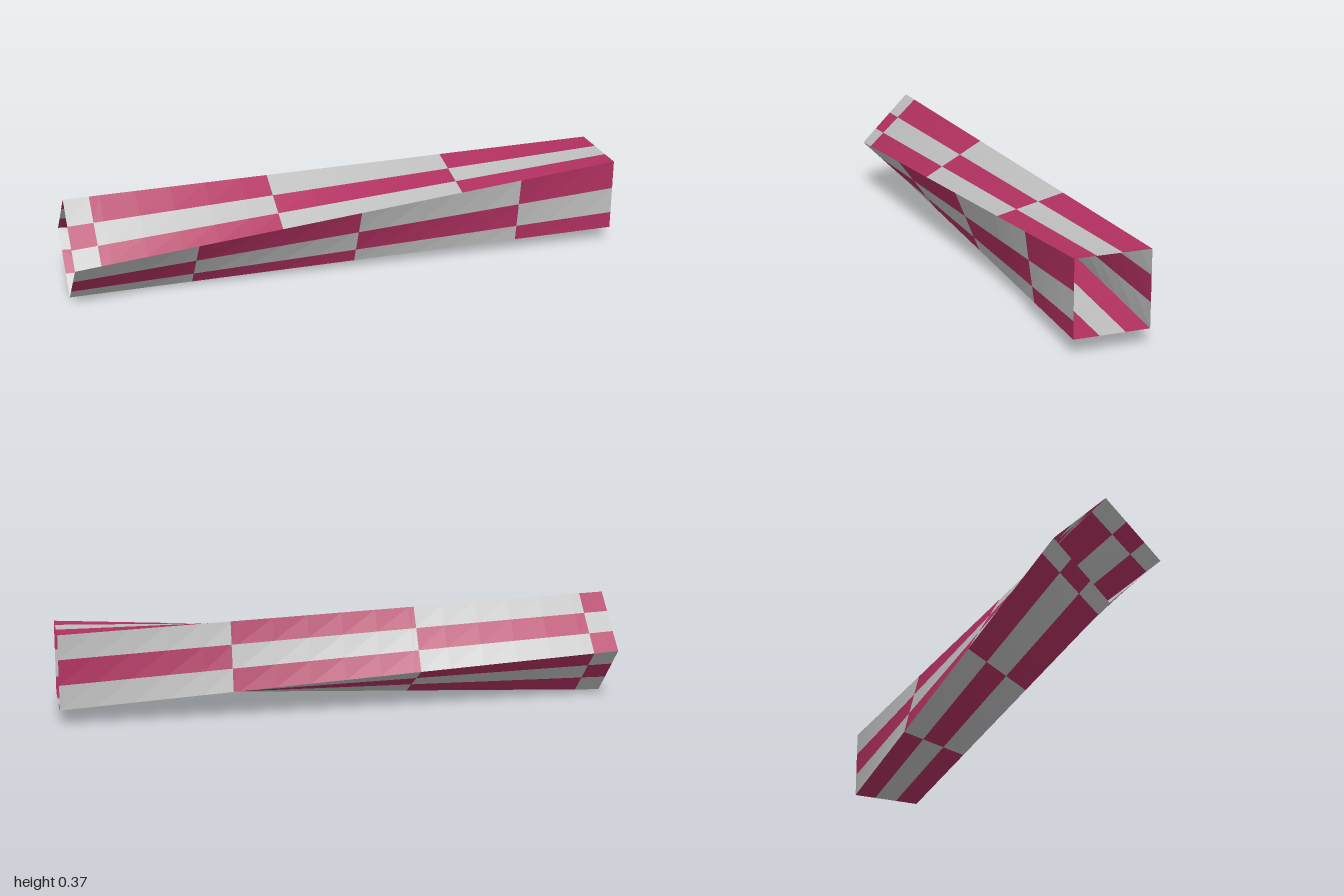
import * as THREE from 'three';

const R = 0.186;       // corner radius of both square ends
const SEGMENTS = 16;   // lengthwise divisions

// Corner k of the tube at position x: a straight line from the diamond end to the square end
function corner(k, x) {
  const a = k * Math.PI / 2, b = a + Math.PI / 4, t = (x + 1) / 2;
  return new THREE.Vector3(x,
    R + R * THREE.MathUtils.lerp(Math.sin(a), Math.sin(b), t),
    R * THREE.MathUtils.lerp(Math.cos(a), Math.cos(b), t));
}

// Point on the wall between corners k and k + 1
const wallPoint = (k, x, u) => corner(k, x).lerp(corner(k + 1, x), u);

// Lengthwise stations, including the edges of the checks
function stations(cuts) {
  const xs = [...cuts];
  for (let i = 0; i <= SEGMENTS; i++) xs.push(-1 + 2 * i / SEGMENTS);
  return xs.sort((a, b) => a - b);
}

// One colour of the checks on one wall
function checks(k, cuts, rows, parity) {
  const pos = [], xs = stations(cuts);
  for (let i = 0; i < xs.length - 1; i++) {
    const x0 = xs[i], x1 = xs[i + 1];
    const column = cuts.filter(c => c < (x0 + x1) / 2).length;
    for (let r = 0; r < rows.length - 1; r++) {
      if ((column + r) % 2 !== parity) continue;
      const [a, b, c, d] = [[x0, rows[r]], [x1, rows[r]], [x1, rows[r + 1]], [x0, rows[r + 1]]]
        .map(([x, u]) => wallPoint(k, x, u));
      for (const p of [a, b, c, a, c, d]) pos.push(p.x, p.y, p.z);
    }
  }
  const g = new THREE.BufferGeometry();
  g.setAttribute('position', new THREE.Float32BufferAttribute(pos, 3));
  g.computeVertexNormals();
  return g;
}

export function createModel() {
  const group = new THREE.Group();
  group.name = 'twistedTube';

  const grey = new THREE.MeshStandardMaterial({ color: 0xbebebe, flatShading: true, side: THREE.DoubleSide });
  grey.name = 'grey';
  const maroon = new THREE.MeshStandardMaterial({ color: 0xb03060, flatShading: true, side: THREE.DoubleSide });
  maroon.name = 'maroon';

  // Four walls: starting corner, check edges along x, check edges across, parity of the grey checks
  const cuts = [-0.91, -0.27, 0.4];
  const walls = [
    { name: 'frontWall', k: 3, cuts: [-0.57, 0.02, 0.63], rows: [0, 0.23, 0.6, 1], grey: 0 },
    { name: 'topWall', k: 0, cuts, rows: [0, 0.29, 0.62, 1], grey: 0 },
    { name: 'backWall', k: 1, cuts, rows: [0, 0.33, 0.67, 1], grey: 1 },
    { name: 'bottomWall', k: 2, cuts, rows: [0, 0.32, 0.66, 1], grey: 0 },
  ];
  for (const w of walls) {
    const wall = new THREE.Group();
    wall.name = w.name;
    for (const [mat, parity] of [[grey, w.grey], [maroon, 1 - w.grey]]) {
      const mesh = new THREE.Mesh(checks(w.k, w.cuts, w.rows, parity), mat);
      mesh.name = `${w.name} ${mat.name} checks`;
      wall.add(mesh);
    }
    group.add(wall);
  }
  return group;
}
